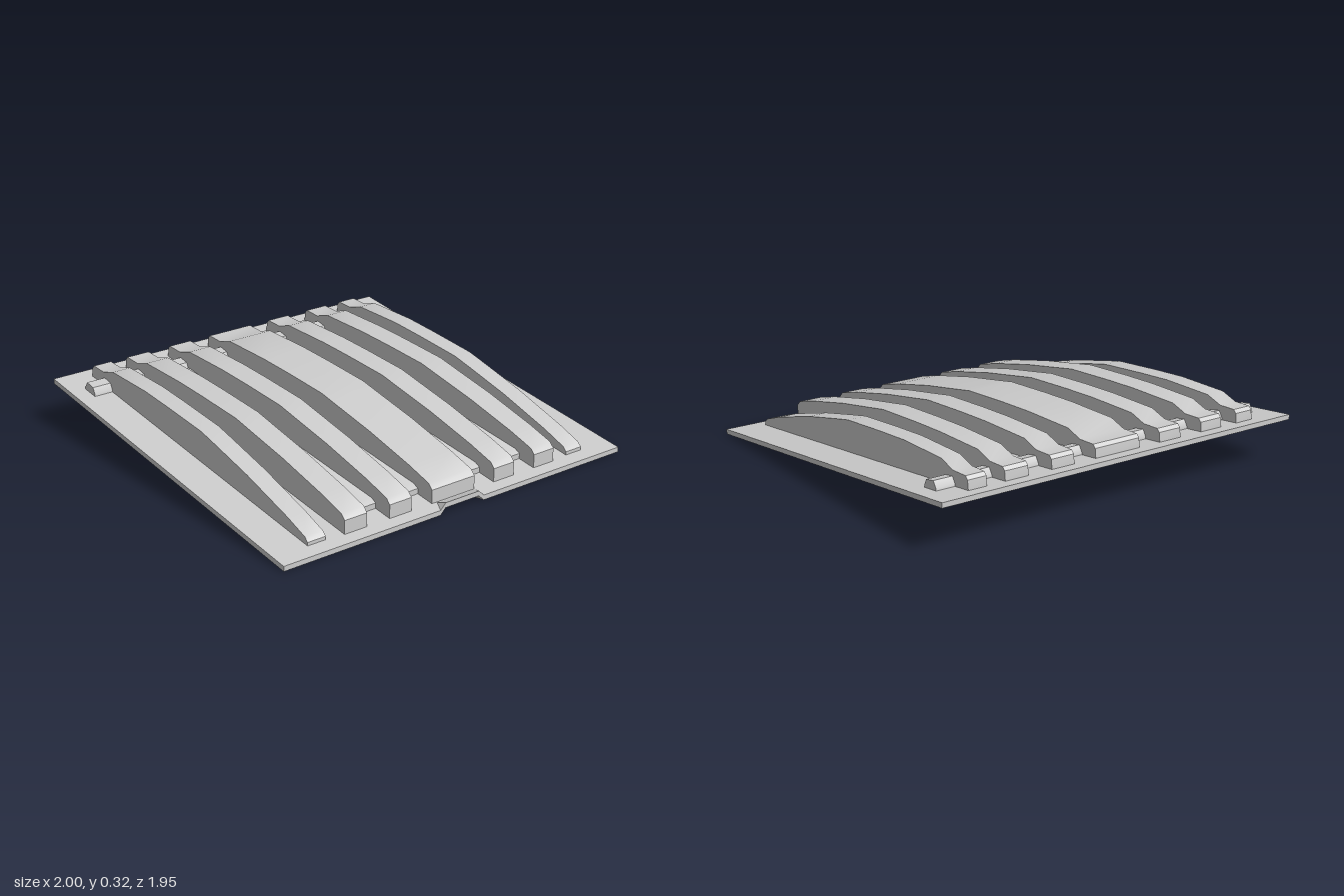
import * as THREE from 'three';
import { toCreasedNormals } from 'three/addons/utils/BufferGeometryUtils.js';

const HALF_Z = 0.975;
const slope = (z) => 0.217 * (HALF_Z - z) / (2 * HALF_Z); // underside height

// Side profile of [z, y] points, closed just inside the slab, extruded across x
function sideExtrusion(name, points, width, x, material) {
  const first = points[0][0], last = points[points.length - 1][0];
  const outline = [[first, slope(first) + 0.012], ...points, [last, slope(last) + 0.012]];
  const shape = new THREE.Shape(outline.map(([z, y]) => new THREE.Vector2(-z, y)));
  const geo = new THREE.ExtrudeGeometry(shape, { depth: width, bevelEnabled: false });
  geo.translate(0, 0, -width / 2);
  geo.rotateY(Math.PI / 2);
  const mesh = new THREE.Mesh(toCreasedNormals(geo, 0.6), material);
  mesh.name = name;
  mesh.position.x = x;
  return mesh;
}

export function createModel() {
  const group = new THREE.Group();
  group.name = 'ribbedPanel';
  const material = new THREE.MeshStandardMaterial({ color: 0xcccccc });

  // Sloping base sheet, with a small arch pressed into its front edge
  const xs = [-1, -0.13, -0.1, 0.1, 0.13, 1];
  const zs = [-HALF_Z, 0.915, HALF_Z];
  const base = new THREE.BoxGeometry(5, 1, 2, 5, 1, 2);
  const pos = base.attributes.position;
  for (let i = 0; i < pos.count; i++) {
    const col = Math.round(pos.getX(i) + 2.5), row = Math.round(pos.getZ(i) + 1);
    const arch = row === 2 && (col === 2 || col === 3) ? 0.03 : 0;
    const y = slope(zs[row]) + arch + (pos.getY(i) > 0 ? 0.025 : 0);
    pos.setXYZ(i, xs[col], y, zs[row]);
  }
  const sheet = new THREE.Mesh(toCreasedNormals(base, 0.3), material);
  sheet.name = 'baseSheet';
  group.add(sheet);

  // Arched ribs, each ending in a low step at the back
  const backEnd = [[-0.4, 0.321], [-0.7, 0.322], [-0.79, 0.293], [-0.885, 0.296], [-0.9, 0.28], [-0.905, 0.24]];
  const tall = [[0.91, 0.1], [0.885, 0.125], [0.74, 0.165], [0.45, 0.23], [0.2, 0.275],
    [0.08, 0.297], [-0.2, 0.313], ...backEnd];
  const low = [[0.9, 0.05], [0.88, 0.07], [0.75, 0.115], [0.45, 0.2], [0.2, 0.257],
    [0.08, 0.283], [-0.2, 0.307], ...backEnd];
  group.add(sideExtrusion('centreRib', tall, 0.254, 0, material));

  // Shallow floors between the inner ribs
  const floor = [[0.81, 0.07], [0.78, 0.085], [-0.7, 0.232], [-0.74, 0.225]];

  for (const side of [-1, 1]) {
    group.add(sideExtrusion('innerRib', tall, 0.125, side * 0.31, material));
    group.add(sideExtrusion('middleRib', tall, 0.125, side * 0.5625, material));
    group.add(sideExtrusion('outerRib', low, 0.098, side * 0.77, material));
    for (const x of [0.187, 0.437]) {
      group.add(sideExtrusion('ribFloor', floor, 0.13, side * x, material));
    }
  }

  // Cross bar near the back
  const bar = [[-0.715, 0.225], [-0.73, 0.255], [-0.785, 0.265], [-0.805, 0.235]];
  group.add(sideExtrusion('crossBar', bar, 1.835, 0, material));

  return group;
}
